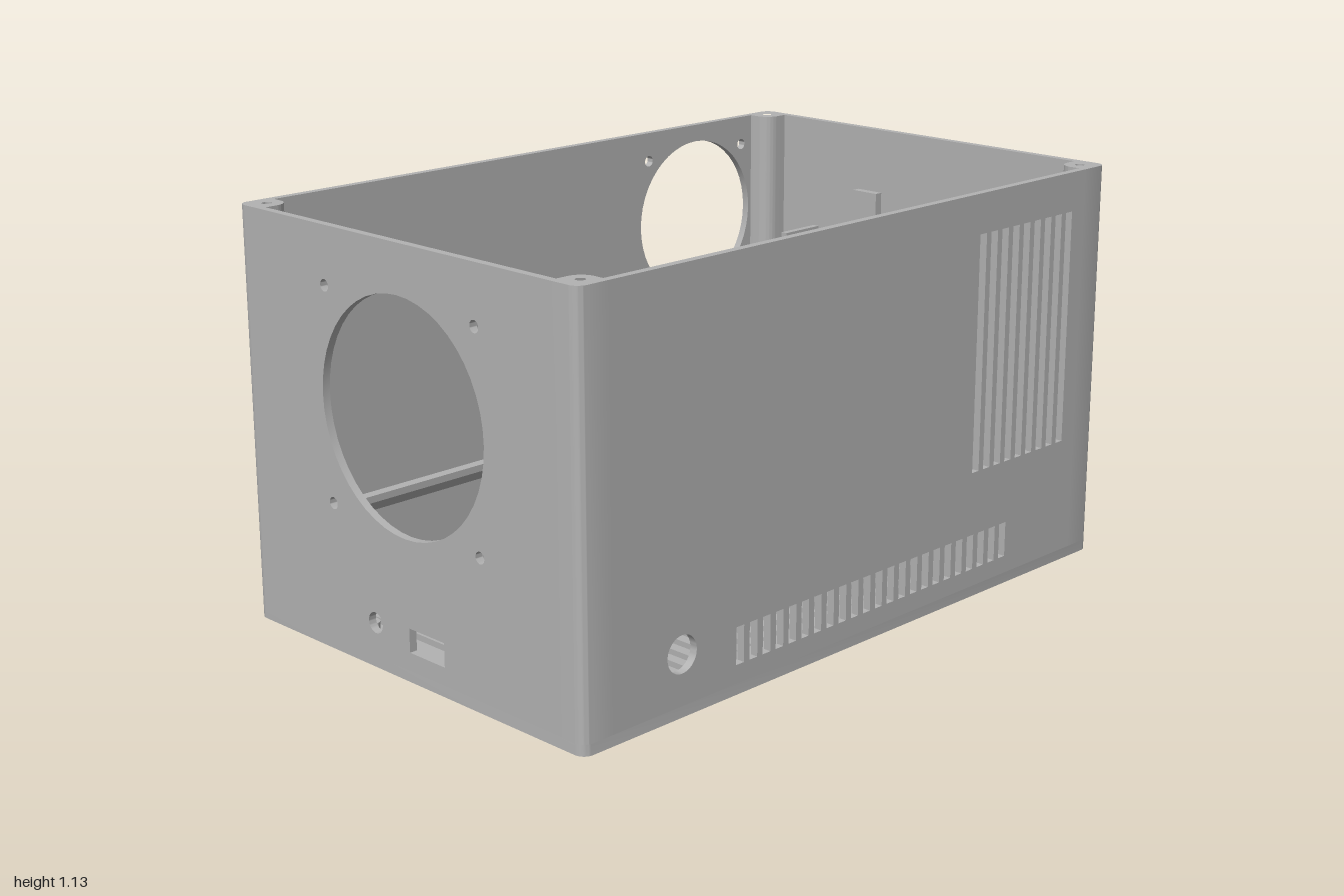
import * as THREE from 'three';
import { toCreasedNormals } from 'three/addons/utils/BufferGeometryUtils.js';

const W = 1, D = 0.64, H = 1.13; // half width, half depth, height
const T = 0.022, FLOOR = 0.03;   // wall and floor thickness
const PX = 0.944, PZ = 0.59, PR = 0.043; // screw post centre and radius

export function createModel() {
  const model = new THREE.Group();
  model.name = 'enclosure';
  const grey = new THREE.MeshStandardMaterial({ color: 0xb2b2b2 });
  grey.name = 'grey plastic';

  const add = (name, geo, parent = model) => {
    const mesh = new THREE.Mesh(toCreasedNormals(geo, 0.6), grey);
    mesh.name = name;
    parent.add(mesh);
    return mesh;
  };
  const group = (name) => {
    const g = new THREE.Group();
    g.name = name;
    model.add(g);
    return g;
  };
  const trace = (path, pts) => path.setFromPoints(pts.map(([x, y]) => new THREE.Vector2(x, y)));
  const rect = (a, b, c, d) => trace(new THREE.Path(), [[a, c], [b, c], [b, d], [a, d]]);
  const disc = (x, y, r) => new THREE.Path().absarc(x, y, r, 0, Math.PI * 2, true);
  const extrude = (shape, depth) =>
    new THREE.ExtrudeGeometry(shape, { depth, bevelEnabled: false, curveSegments: 24 });
  const slots = (n, start, pitch, width, lo, hi) =>
    Array.from({ length: n }, (_, i) => rect(start + i * pitch, start + i * pitch + width, lo, hi));
  const fan = (x, y, r, s) => [disc(x, y, r),
    ...[[-s, -s], [s, -s], [-s, s], [s, s]].map(([a, b]) => disc(x + a, y + b, 0.016))];
  const box = (name, x0, x1, y0, y1, z0, z1, parent) =>
    add(name, new THREE.BoxGeometry(x1 - x0, y1 - y0, z1 - z0)
      .translate((x0 + x1) / 2, (y0 + y1) / 2, (z0 + z1) / 2), parent);

  // Wall panels between the corner posts
  const wall = (half, holes) => {
    const s = trace(new THREE.Shape(), [[-half, FLOOR], [half, FLOOR], [half, H], [-half, H]]);
    s.holes.push(...holes);
    return extrude(s, T);
  };
  const hx = PX - PR, hz = PZ - PR;
  add('frontWall', wall(hx, [
    disc(-0.674, 0.165, 0.05),
    ...slots(23, -0.485, 0.048, 0.028, 0.08, 0.18),
    ...slots(9, 0.44, 0.0474, 0.028, 0.36, 1.02),
  ]).translate(0, 0, D - T));
  add('backWall', wall(hx, [
    ...fan(0.655, 0.845, 0.235, 0.2),
    ...slots(7, 0.59, 0.048, 0.028, 0.08, 0.18),
  ]).translate(0, 0, -D));
  add('rightPortWall', wall(hz, [
    disc(0.173, 0.135, 0.045),
    rect(-0.06, 0.075, 0.083, 0.14),
    rect(-0.187, -0.1, 0.085, 0.125),
    rect(-0.35, -0.23, 0.08, 0.14),
    rect(-0.545, -0.39, 0.08, 0.117),
    rect(-0.35, -0.23, 0.395, 0.477),
    disc(-0.44, 0.46, 0.045),
  ]).rotateY(-Math.PI / 2).translate(W, 0, 0));
  add('leftFanWall', wall(hz, [
    ...fan(0, 0.69, 0.31, 0.285),
    disc(-0.13, 0.122, 0.028),
    rect(0.005, 0.14, 0.08, 0.145),
  ]).rotateY(-Math.PI / 2).translate(-W + T, 0, 0));

  // Rounded corners with screw posts inside
  const corner = new THREE.Path();
  corner.moveTo(W, hz);
  corner.lineTo(W, D - 0.03);
  corner.absarc(W - 0.03, D - 0.03, 0.03, 0, Math.PI / 2);
  corner.lineTo(hx, D);
  corner.lineTo(hx, PZ);
  corner.absarc(PX, PZ, PR, Math.PI, Math.PI * 1.5);
  const cornerPts = corner.getPoints(10);
  const posts = group('cornerPosts');
  const footprint = [];
  for (const [sx, sz] of [[1, 1], [-1, 1], [-1, -1], [1, -1]]) {
    const s = trace(new THREE.Shape(), cornerPts.map((p) => [p.x * sx, p.y * sz]));
    s.holes.push(disc(PX * sx, PZ * sz, 0.013));
    add('cornerPost', extrude(s, H - FLOOR).rotateX(Math.PI / 2).translate(0, H, 0), posts);
    // Rounded floor outline, one quarter at a time
    const start = Math.atan2(sz, sx) - Math.PI / 4;
    for (let i = 0; i <= 8; i++) {
      const a = Math.round(start / (Math.PI / 2)) * Math.PI / 2 + i * Math.PI / 16;
      footprint.push([sx * (W - 0.03) + 0.03 * Math.cos(a), sz * (D - 0.03) + 0.03 * Math.sin(a)]);
    }
  }

  // Slotted floor
  const base = trace(new THREE.Shape(), footprint);
  base.holes.push(...slots(31, -0.858, 0.056, 0.026, -0.5, 0.5));
  add('ventedFloor', extrude(base, FLOOR).rotateX(Math.PI / 2).translate(0, FLOOR, 0));

  // Board standoffs, some on wider pads over the slots
  const standoffs = group('standoffs');
  const tube = (r, hole, h) => {
    const s = new THREE.Shape().absarc(0, 0, r, 0, Math.PI * 2);
    if (hole) s.holes.push(disc(0, 0, hole));
    return extrude(s, h).rotateX(Math.PI / 2).translate(0, h, 0);
  };
  for (const [x, z, pad] of [
    [-0.914, -0.527], [-0.925, -0.254], [-0.925, 0.131], [-0.898, 0.211, 1],
    [-0.193, -0.559], [0.893, -0.538], [0.444, -0.158, 1], [-0.016, 0.227, 1],
  ]) {
    add('standoff', tube(0.027, 0.011, 0.07), standoffs).position.set(x, 0, z);
    if (pad) add('standoffPad', tube(0.05, 0, FLOOR + 0.004), standoffs).position.set(x, 0, z);
  }

  // Inner rails with sloped undersides
  const rails = group('innerRails');
  const railShape = trace(new THREE.Shape(), [[0, 0.21], [0.032, 0.245], [0.032, 0.265], [0, 0.265]]);
  const rail = (len, angle, x, z) => {
    const g = extrude(railShape, len).translate(0, 0, -len / 2).rotateY(angle);
    add('rail', g, rails).position.set(x, 0, z);
  };
  rail(2 * hx, Math.PI / 2, 0, D - T);
  rail(2 * hx, -Math.PI / 2, 0, -D + T);
  rail(2 * hz, 0, -W + T, 0);
  rail(2 * hz, Math.PI, W - T, 0);

  // Drive shelf on the port wall, with end plates and upright clips
  const shelf = group('driveShelf');
  const inner = W - T;
  box('shelfPlate', 0.83, inner, 0.64, 0.67, -0.42, 0.42, shelf);
  for (const z of [-0.41, 0.41]) {
    const plate = trace(new THREE.Shape(),
      [[0.83, 0.64], [0.85, 0.605], [inner, 0.54], [inner, 0.8], [0.83, 0.8]]);
    add('shelfEndPlate', extrude(plate, 0.02).translate(0, 0, z - 0.01), shelf);
  }
  for (const z of [-0.195, 0.205]) {
    box('clip', 0.953, inner, 0.42, 0.94, z - 0.045, z + 0.045, shelf);
  }
  return model;
}
